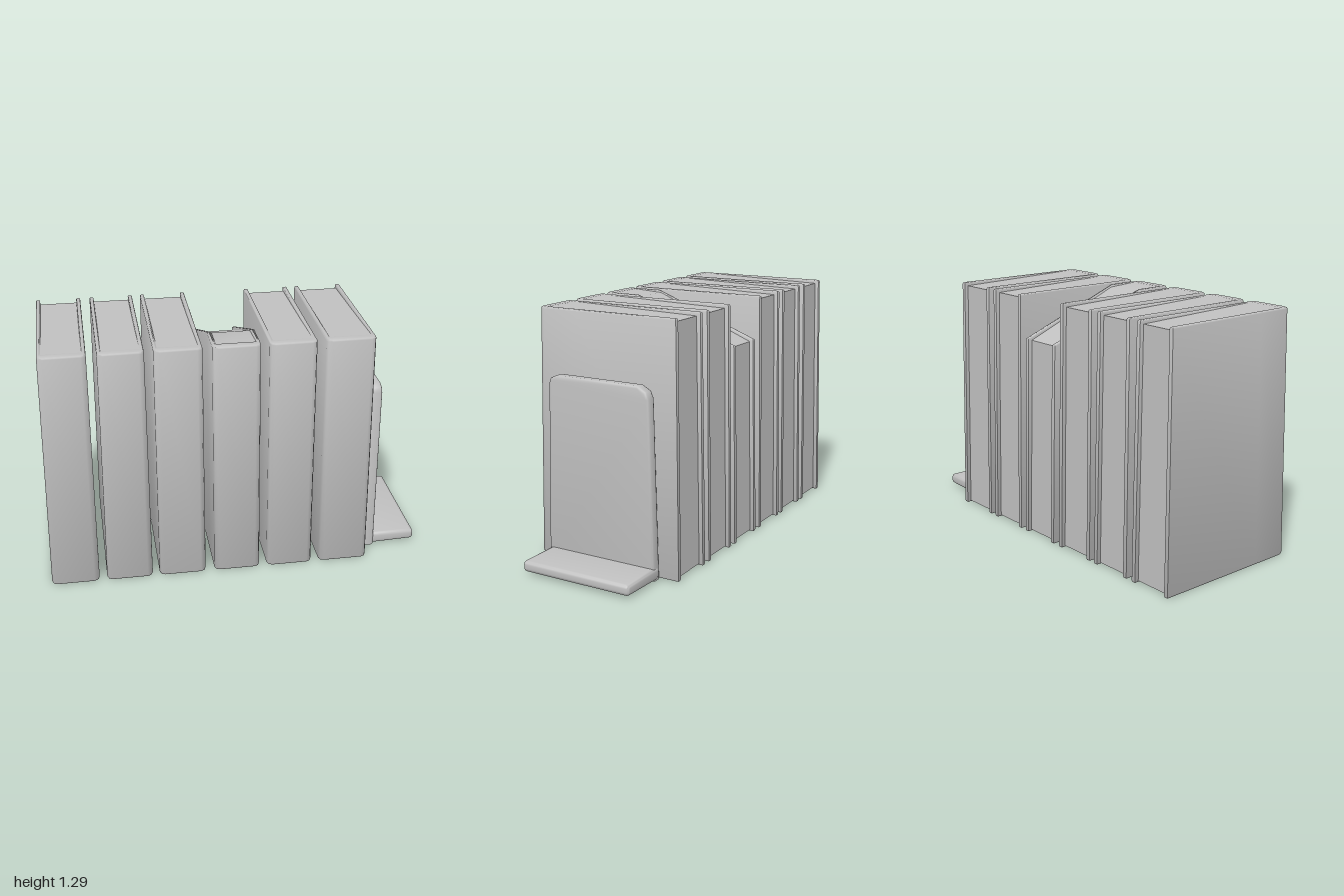
import * as THREE from 'three';
import { toCreasedNormals } from 'three/addons/utils/BufferGeometryUtils.js';
import { RoundedBoxGeometry } from 'three/addons/geometries/RoundedBoxGeometry.js';

const grey = new THREE.MeshStandardMaterial({ color: 0xc0c0c0 });
grey.name = 'plain grey';

const HEIGHT = 1.29, DEPTH = 0.415, COVER = 0.023;

// Move every vertex of a geometry by a rule
function reshape(geometry, rule) {
  const p = geometry.attributes.position, v = new THREE.Vector3();
  for (let i = 0; i < p.count; i++) {
    rule(v.fromBufferAttribute(p, i));
    p.setXYZ(i, v.x, v.y, v.z);
  }
  geometry.computeVertexNormals();
  return geometry;
}

function addMesh(parent, name, geometry) {
  const mesh = new THREE.Mesh(geometry, grey);
  mesh.name = name;
  parent.add(mesh);
}

// Extrude an outline with a bevel that stays inside the outline
function bevelled(points, depth, bevel) {
  const shape = new THREE.Shape(points.map(([x, y]) => new THREE.Vector2(x, y)));
  const geometry = new THREE.ExtrudeGeometry(shape, {
    depth: depth - 2 * bevel, bevelEnabled: true, bevelSegments: 2,
    bevelSize: bevel, bevelThickness: bevel, bevelOffset: -bevel,
  });
  return geometry.translate(0, 0, bevel);
}

// A book: bent cover open at the back, with a slightly sunken page block inside
function makeBook(index, { left, right, topLeft, topRight, sag = 0 }) {
  const book = new THREE.Group();
  book.name = 'book' + (index + 1);
  const w = (right - left) / 2, i = w - COVER, c = 0.028;

  // lean towards the top, taper in depth, optional drop of the rear top
  const settle = (v) => {
    const t = v.y / HEIGHT;
    const a = THREE.MathUtils.lerp(left, topLeft, t);
    const b = THREE.MathUtils.lerp(right, topRight, t);
    v.x = (a + b) / 2 + (v.x / w) * (b - a) / 2;
    if (v.y > HEIGHT / 2) v.y -= sag * Math.max(0, 0.2 - v.z);
    v.z *= 1 - 0.055 * t;
  };

  // outline seen from above, spine towards +z
  const cover = bevelled([
    [-w, -DEPTH + c], [-w + c * 0.3, -DEPTH + c * 0.3], [-w + c, -DEPTH],
    [w - c, -DEPTH], [w - c * 0.3, -DEPTH + c * 0.3], [w, -DEPTH + c],
    [w, -0.2], [w, DEPTH], [i, DEPTH], [i, -0.2], [i, -0.36],
    [-i, -0.36], [-i, -0.2], [-i, DEPTH], [-w, DEPTH], [-w, -0.2],
  ], HEIGHT, 0.009).rotateX(-Math.PI / 2);
  addMesh(book, 'cover', toCreasedNormals(reshape(cover, settle), 0.9));

  // pages are flush at the spine and sink a little towards the back
  const pages = new THREE.BoxGeometry(2 * i + 0.012, 1, 0.77, 1, 1, 4);
  reshape(pages, (v) => {
    const back = (0.385 - v.z) / 0.77;
    v.z -= 0.008;
    v.y = v.y > 0 ? HEIGHT - 0.002 - 0.018 * back : 0.003 + 0.006 * back;
    settle(v);
  });
  addMesh(book, 'pages', toCreasedNormals(pages, 0.6));
  return book;
}

// L-shaped bookend: upright plate with clipped top corners and a foot
function makeBookend() {
  const bookend = new THREE.Group();
  bookend.name = 'bookend';
  const plate = bevelled([
    [-0.31, 0.005], [0.315, 0.005], [0.29, 0.91], [0.275, 0.945], [0.23, 0.97],
    [-0.24, 0.97], [-0.275, 0.955], [-0.285, 0.93],
  ], 0.06, 0.012).rotateY(Math.PI / 2).translate(0.71, 0, 0);
  addMesh(bookend, 'uprightPlate', toCreasedNormals(plate, 0.9));

  // the underside of the foot rises a little towards its tip
  const foot = new RoundedBoxGeometry(0.28, 0.066, 0.62, 2, 0.018);
  foot.translate(0.86, 0.038, -0.008);
  reshape(foot, (v) => {
    if (v.y < 0.038) v.y += 0.01 * (v.x - 0.72) / 0.28;
  });
  addMesh(bookend, 'foot', toCreasedNormals(foot, 0.9));
  return bookend;
}

export function createModel() {
  const model = new THREE.Group();
  model.name = 'bookRow';
  const books = [
    { left: -1.0, right: -0.75, topLeft: -0.98, topRight: -0.745 },
    { left: -0.71, right: -0.467, topLeft: -0.695, topRight: -0.467 },
    { left: -0.43, right: -0.182, topLeft: -0.423, topRight: -0.182 },
    { left: -0.135, right: 0.11, topLeft: -0.135, topRight: 0.107, sag: 0.36 },
    { left: 0.15, right: 0.395, topLeft: 0.15, topRight: 0.39 },
    { left: 0.435, right: 0.7, topLeft: 0.435, topRight: 0.688 },
  ];
  books.forEach((spec, n) => model.add(makeBook(n, spec)));
  model.add(makeBookend());
  return model;
}
